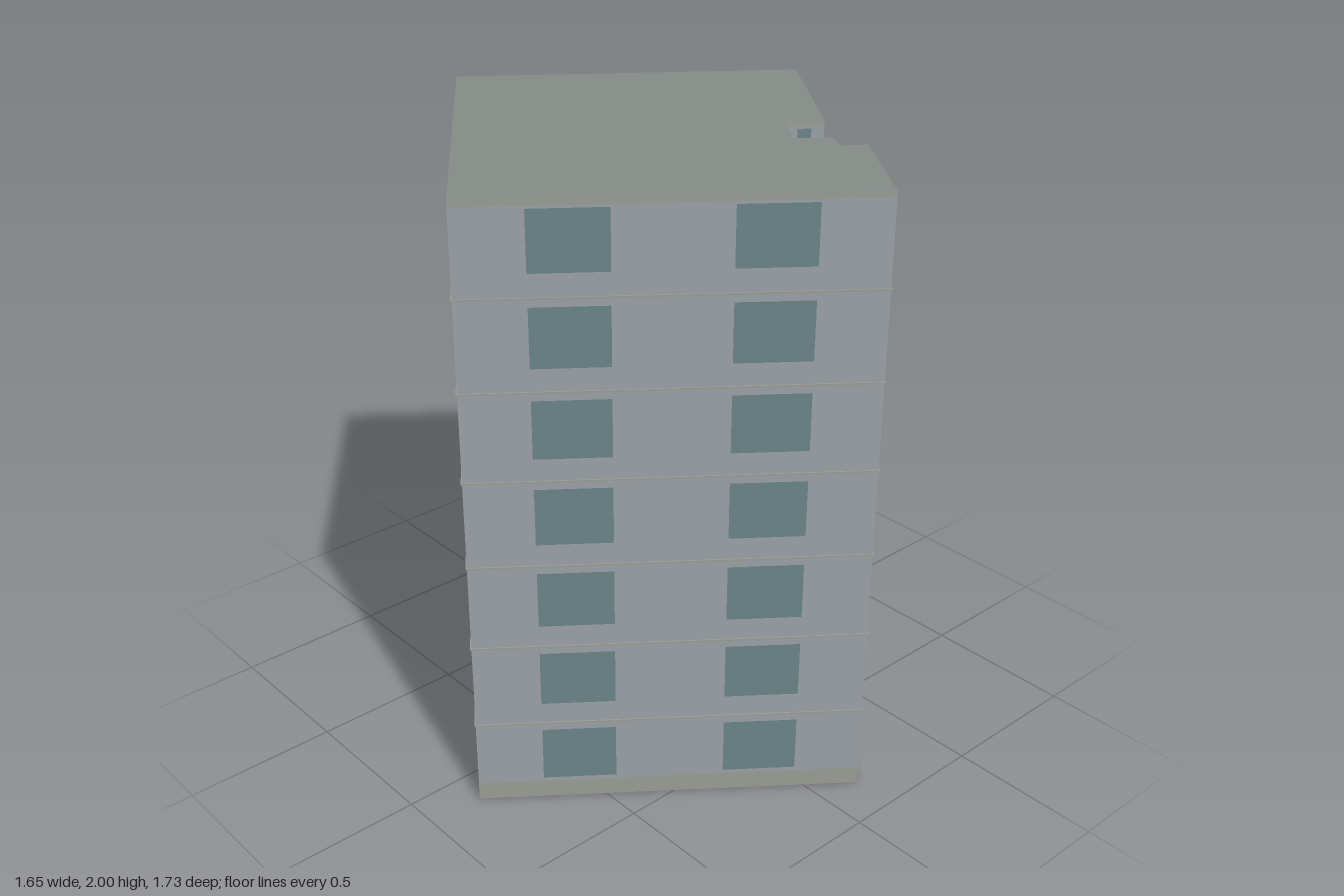
import * as THREE from 'three';
import { mergeGeometries } from 'three/addons/utils/BufferGeometryUtils.js';

// Footprint corners (x, z), clockwise as seen from above
const FOOTPRINT = [
  [-0.08, -0.86], [0.82, -0.18], [0.472, 0.278], [0.373, 0.206], [0.269, 0.344],
  [0.361, 0.417], [0.318, 0.484], [0.385, 0.532], [0.14, 0.86], [-0.82, 0.12],
];
const HEIGHT = 2;
const FLOORS = 7;
const STOREY = HEIGHT / FLOORS;

// One entry per facade: centre, length, outward normal and heading
const FACADES = FOOTPRINT.map(([x0, z0], i) => {
  const [x1, z1] = FOOTPRINT[(i + 1) % FOOTPRINT.length];
  const length = Math.hypot(x1 - x0, z1 - z0);
  const nx = (z1 - z0) / length, nz = -(x1 - x0) / length;
  return { cx: (x0 + x1) / 2, cz: (z0 + z1) / 2, length, nx, nz, angle: Math.atan2(nx, nz) };
});

// Put a geometry on a facade: u along it, y up, out from its surface
function place(geometry, facade, u, y, out) {
  return geometry.translate(u, y, out).rotateY(facade.angle).translate(facade.cx, 0, facade.cz);
}

// A flat strip running round all facades
function strip(y0, y1, out) {
  return mergeGeometries(FACADES.map((f) =>
    place(new THREE.PlaneGeometry(f.length, y1 - y0), f, 0, (y0 + y1) / 2, out)));
}

function material(color, side = THREE.FrontSide) {
  const m = new THREE.MeshStandardMaterial({ color });
  m.side = side;
  return m;
}

export function createModel() {
  const model = new THREE.Group();
  model.name = 'apartmentBlock';
  const add = (name, geometry, mat) => {
    const mesh = new THREE.Mesh(geometry, mat);
    mesh.name = name;
    model.add(mesh);
  };

  // Wall shell, open underneath
  add('walls', strip(0, HEIGHT, 0), material(0x9ca2a8, THREE.DoubleSide));

  // Flat roof
  const outline = new THREE.Shape(FOOTPRINT.map(([x, z]) => new THREE.Vector2(x, -z)));
  const roof = new THREE.ShapeGeometry(outline).rotateX(-Math.PI / 2).translate(0, HEIGHT, 0);
  add('roof', roof, material(0x858c88, THREE.DoubleSide));

  // Plinth at the ground and trim under the roof edge
  const trimMaterial = material(0x9b9d96);
  add('plinth', strip(0, 0.06, 0.001), trimMaterial);
  add('roofTrim', strip(1.982, HEIGHT, 0.001), trimMaterial);

  // Thin ledges between storeys
  const ledges = [];
  for (let floor = 1; floor < FLOORS; floor++) {
    for (const f of FACADES) {
      ledges.push(place(new THREE.BoxGeometry(f.length + 0.006, 0.006, 0.004), f, 0, floor * STOREY, 0.002));
    }
  }
  add('storeyLedges', mergeGeometries(ledges), trimMaterial);

  // Windows: two on long facades, one on short ones, none on the smallest
  const windows = [];
  for (const f of FACADES) {
    if (f.length < 0.1) continue;
    const [width, centres] = f.length > 0.5 ? [0.19, [-0.235, 0.235]] : [0.35, [0]];
    for (let floor = 0; floor < FLOORS; floor++) {
      for (const c of centres) {
        windows.push(place(new THREE.PlaneGeometry(width * f.length, 0.186), f,
          c * f.length, floor * STOREY + 0.167, 0.002));
      }
    }
  }
  add('windows', mergeGeometries(windows), material(0x6c8589));

  return model;
}
